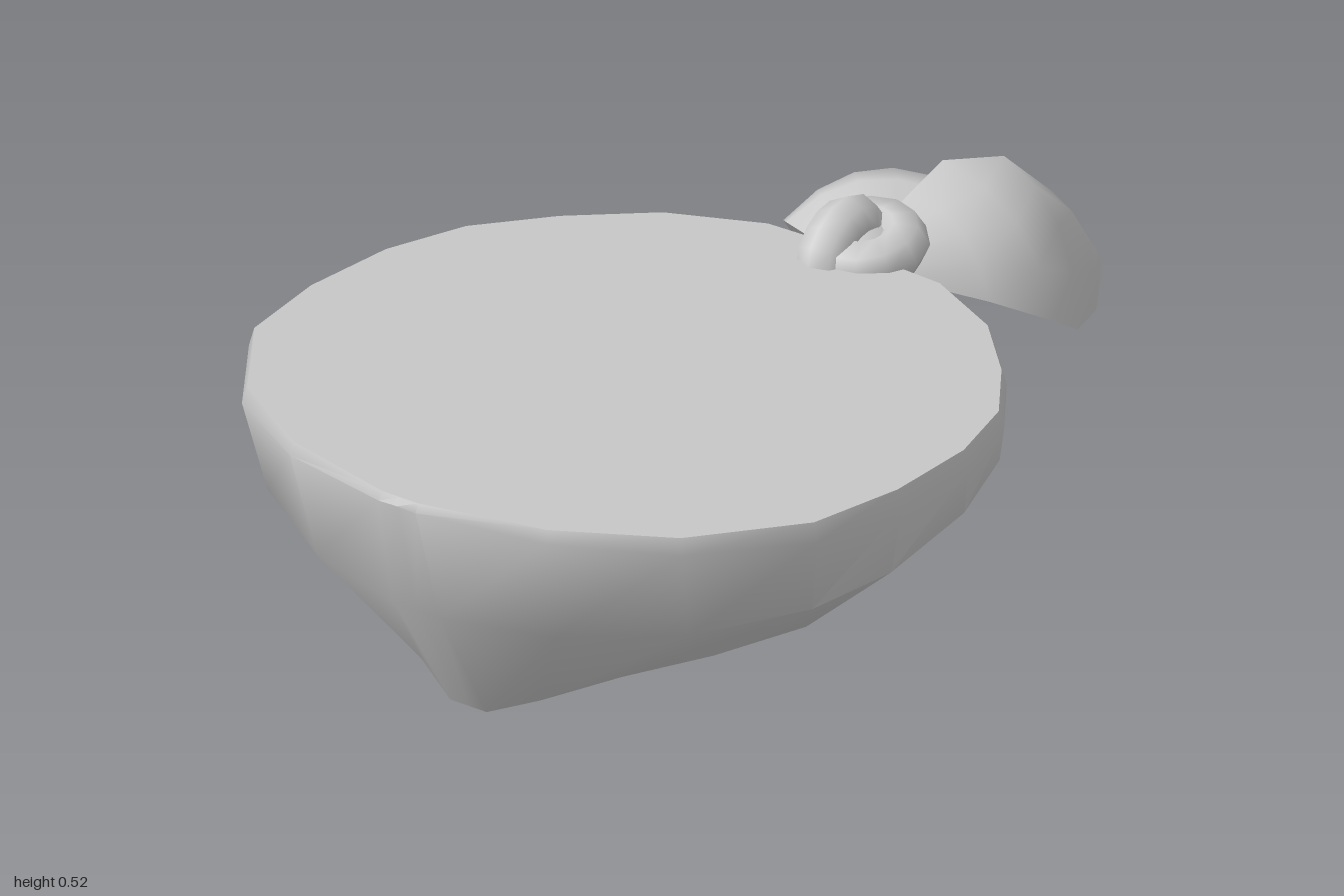
import * as THREE from 'three';
import { toCreasedNormals } from 'three/addons/utils/BufferGeometryUtils.js';

const material = new THREE.MeshStandardMaterial({ color: 0xcccccc, side: THREE.DoubleSide });

// Skin a list of equally long cross-sections
function loft(rows, closed) {
  const n = rows[0].length, index = [];
  for (let r = 0; r < rows.length - 1; r++) {
    for (let i = 0; i < (closed ? n : n - 1); i++) {
      const j = (i + 1) % n, a = r * n + i, b = r * n + j;
      index.push(a, a + n, b, b, a + n, b + n);
    }
  }
  const g = new THREE.BufferGeometry();
  g.setAttribute('position', new THREE.Float32BufferAttribute(rows.flat(2), 3));
  g.setIndex(index);
  g.computeVertexNormals();
  return g;
}

function add(group, name, geometry) {
  const mesh = new THREE.Mesh(geometry, material);
  mesh.name = name;
  group.add(mesh);
  return mesh;
}

// Half outlines from front to back: top rim (x, z), fold and hem (x, y, z)
const RIM = [[0, 1], [0.04, 1], [0.28, 0.935], [0.48, 0.8], [0.62, 0.58], [0.65, 0.36],
  [0.64, 0.14], [0.59, -0.04], [0.49, -0.19], [0.36, -0.33], [0.19, -0.42], [0, -0.43]];
const FOLD = [[0, 0.27, 0.94], [0.05, 0.27, 0.94], [0.26, 0.27, 0.88], [0.46, 0.28, 0.75],
  [0.595, 0.29, 0.56], [0.64, 0.297, 0.38], [0.63, 0.305, 0.14], [0.58, 0.313, -0.04],
  [0.48, 0.32, -0.19], [0.35, 0.328, -0.32], [0.18, 0.335, -0.41], [0, 0.34, -0.42]];
const HEM = [[0, 0, 0.78], [0.04, 0, 0.78], [0.13, 0.035, 0.74], [0.25, 0.085, 0.66],
  [0.38, 0.125, 0.56], [0.49, 0.16, 0.43], [0.47, 0.2, 0.2], [0.42, 0.24, -0.02],
  [0.35, 0.27, -0.17], [0.25, 0.295, -0.3], [0.12, 0.31, -0.38], [0, 0.32, -0.39]];

const mirror = (half) => [...half, ...half.slice(1, -1).reverse().map(([x, y, z]) => [-x, y, z])];
const topY = (z) => 0.42 + 0.105 * z;

// A leaf-shaped tail: pairs of edge points joined by bowed outer and inner sheets
function tail(group, name, pairs, bow) {
  const sheet = (amount) => loft(pairs.map(([p, q]) => {
    const a = new THREE.Vector3(...p), b = new THREE.Vector3(...q);
    const width = a.distanceTo(b);
    return [0, 0.25, 0.5, 0.75, 1].map((t) => a.clone().lerp(b, t)
      .addScaledVector(bow, amount * width * 4 * t * (1 - t)).toArray());
  }), false);
  const part = new THREE.Group();
  part.name = name;
  add(part, 'outerSheet', sheet(0.17));
  add(part, 'innerSheet', sheet(0.06));
  group.add(part);
}

export function createModel() {
  const model = new THREE.Group();
  model.name = 'neckerchief';

  // Flat top with a softly rounded rim
  const capRing = mirror(RIM.map(([x, z]) => [x * 0.985, topY(z), 0.3 + (z - 0.3) * 0.988]));
  const rimRing = mirror(RIM.map(([x, z]) => [x, topY(z) - 0.015 - 0.035 * x, z]));
  const centre = capRing.map(() => [0, topY(0.3), 0.3]);
  add(model, 'topCloth', loft([centre, capRing], true));

  // Draped wall, folding under to the hem with a point at the front
  const hem = mirror(HEM);
  const wall = loft([capRing, rimRing, mirror(FOLD), hem], true);
  add(model, 'drapedWall', toCreasedNormals(wall, 0.75));

  // Shallow hollow lining inside the hem
  const hollow = [0, 0.15, 0.35, 0.6, 0.8, 1].map((t) => hem.map(([x, y, z]) => [
    x * (1 - t), y + (0.34 - y) * (1 - (1 - t) ** 2), z + (0.15 - z) * t]));
  add(model, 'lining', loft(hollow, true));

  // Knot: core, wrapped ring and a strap crossing over it
  const knot = new THREE.Group();
  knot.name = 'knot';
  const core = add(knot, 'knotCore', new THREE.SphereGeometry(1, 10, 7));
  core.scale.set(0.09, 0.085, 0.11);
  core.position.set(0, 0.335, -0.43);
  const wrap = add(knot, 'knotWrap', new THREE.TorusGeometry(0.064, 0.05, 7, 12));
  wrap.rotation.x = Math.PI / 2 + 0.1;
  wrap.scale.y = 1.1;
  wrap.position.set(0, 0.375, -0.445);
  const strapPath = new THREE.CatmullRomCurve3([
    [-0.02, 0.36, -0.48], [-0.03, 0.41, -0.46], [-0.03, 0.415, -0.4],
    [-0.025, 0.37, -0.35], [-0.01, 0.3, -0.36], [0, 0.29, -0.43],
  ].map((p) => new THREE.Vector3(...p)));
  add(knot, 'knotStrap', new THREE.TubeGeometry(strapPath, 12, 0.05, 8));
  model.add(knot);

  // Two loose tails, curling down behind the knot
  tail(model, 'leftTail', [
    [[-0.02, 0.37, -0.5], [0.06, 0.32, -0.46]],
    [[-0.02, 0.4, -0.61], [0.19, 0.27, -0.56]],
    [[-0.01, 0.43, -0.7], [0.25, 0.2, -0.67]],
    [[0.06, 0.42, -0.79], [0.235, 0.13, -0.77]],
    [[0.1, 0.32, -0.88], [0.19, 0.1, -0.89]],
    [[0.08, 0.17, -1], [0.14, 0.12, -0.98]],
  ], new THREE.Vector3(0.6, 0.75, -0.1).normalize());
  tail(model, 'rightTail', [
    [[0.02, 0.36, -0.5], [-0.08, 0.34, -0.45]],
    [[0, 0.38, -0.68], [-0.21, 0.33, -0.5]],
    [[-0.07, 0.35, -0.76], [-0.28, 0.27, -0.59]],
    [[-0.2, 0.2, -0.79], [-0.29, 0.15, -0.68]],
    [[-0.29, 0.11, -0.8], [-0.295, 0.04, -0.745]],
    [[-0.37, 0.1, -0.8], [-0.375, 0.035, -0.75]],
  ], new THREE.Vector3(-0.5, 0.7, -0.4).normalize());

  return model;
}
